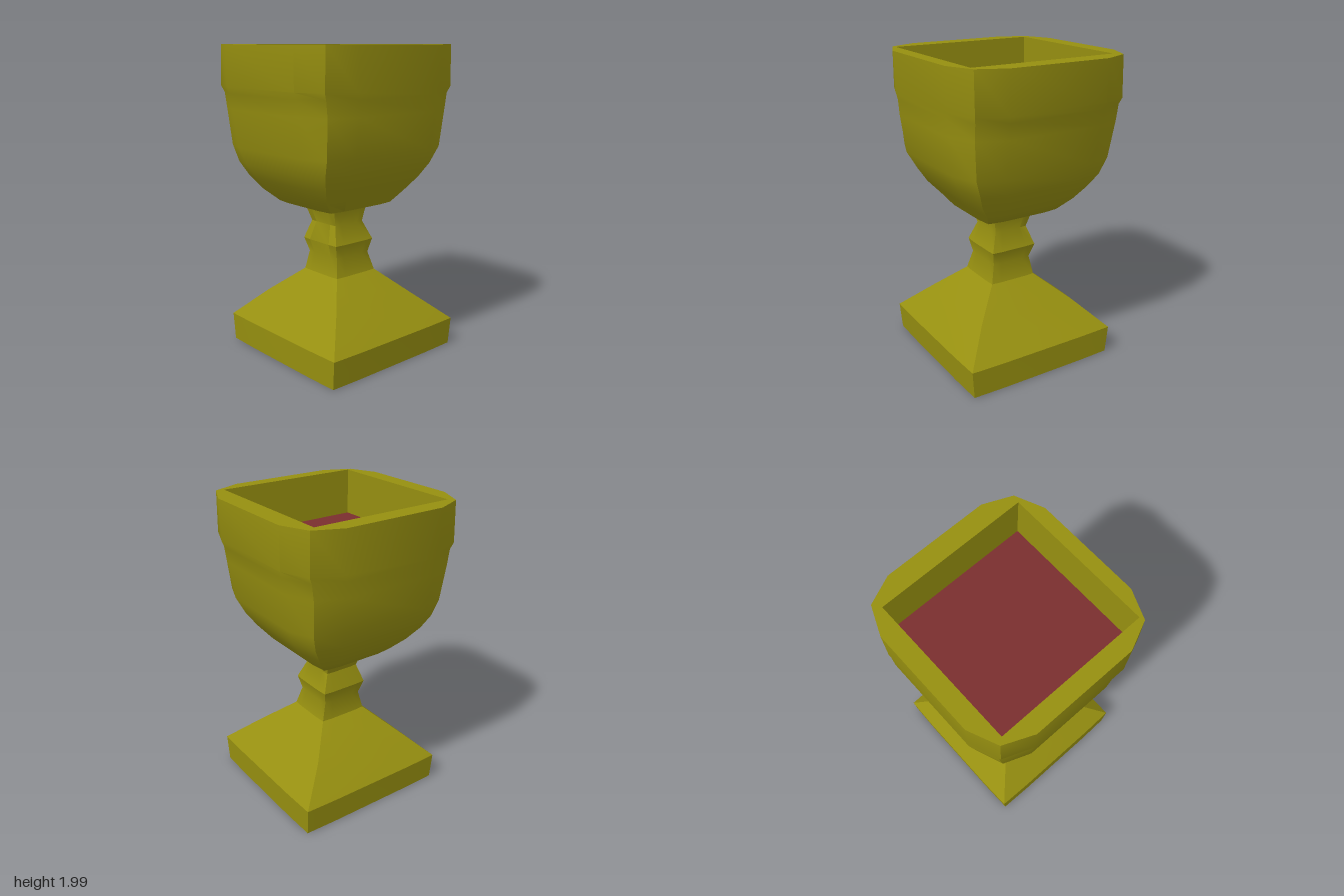
import * as THREE from 'three';
import { toCreasedNormals } from 'three/addons/utils/BufferGeometryUtils.js';

const gold = new THREE.MeshStandardMaterial({ color: 0x968f10 });
const wine = new THREE.MeshStandardMaterial({ color: 0x7a2e2e });

// Square section with bulging sides: 3 points per side (corner, two side points).
// Row: [y, centre x, centre z, half width, half depth, corner ratio]
function section([y, cx, cz, hx, hz, corner]) {
  const side = 0.57;
  const quarter = [[corner, corner], [side, 1], [-side, 1]];
  const points = [];
  for (let q = 0; q < 4; q++) {
    for (let [x, z] of quarter) {
      for (let i = 0; i < q; i++) [x, z] = [-z, x];
      points.push([cx + x * hx, y, cz + z * hz]);
    }
  }
  return points;
}

// Skin a list of sections from bottom to top, optionally closing the bottom.
function loft(rows, capBottom) {
  const rings = rows.map(section);
  const n = rings[0].length;
  const positions = [];
  const tri = (a, b, c) => positions.push(...a, ...b, ...c);
  for (let r = 0; r < rings.length - 1; r++) {
    for (let i = 0; i < n; i++) {
      const j = (i + 1) % n;
      const [a, b, c, d] = [rings[r][i], rings[r][j], rings[r + 1][j], rings[r + 1][i]];
      tri(a, c, b);
      tri(a, d, c);
    }
  }
  if (capBottom) {
    const [y, cx, cz] = rows[0];
    for (let i = 0; i < n; i++) tri([cx, y, cz], rings[0][i], rings[0][(i + 1) % n]);
  }
  const geometry = new THREE.BufferGeometry();
  geometry.setAttribute('position', new THREE.Float32BufferAttribute(positions, 3));
  return toCreasedNormals(geometry, 0.6);
}

function part(name, geometry, material) {
  const mesh = new THREE.Mesh(geometry, material);
  mesh.name = name;
  return mesh;
}

export function createModel() {
  const group = new THREE.Group();
  group.name = 'goblet';

  // Square foot sloping up to the stem
  group.add(part('foot', loft([
    [0.01, 0.04, -0.02, 0.515, 0.525, 0.99],
    [0.19, 0.04, -0.02, 0.53, 0.53, 0.99],
    [0.37, 0.035, -0.01, 0.35, 0.34, 0.98],
    [0.53, 0.038, -0.007, 0.165, 0.17, 0.97],
  ], true), gold));

  // Stem with a knob in the middle
  group.add(part('stem', loft([
    [0.53, 0.038, -0.007, 0.165, 0.17, 0.97],
    [0.65, 0.03, -0.005, 0.14, 0.14, 0.97],
    [0.74, 0.025, -0.005, 0.165, 0.165, 0.97],
    [0.86, 0.02, 0, 0.12, 0.12, 0.97],
    [0.97, 0.01, 0.005, 0.15, 0.145, 0.97],
  ], false), gold));

  // Bowl, rim and inner wall in one skin
  group.add(part('bowl', loft([
    [0.96, 0.01, 0.005, 0.15, 0.145, 0.97],
    [0.99, 0.01, 0.01, 0.27, 0.27, 0.95],
    [1.07, 0, 0.015, 0.345, 0.36, 0.93],
    [1.16, 0, 0.015, 0.425, 0.435, 0.91],
    [1.25, 0, 0.01, 0.48, 0.495, 0.9],
    [1.36, 0.005, 0.005, 0.535, 0.54, 0.88],
    [1.6, -0.003, 0, 0.573, 0.565, 0.87],
    [1.7, -0.003, 0, 0.577, 0.58, 0.87],
    [1.74, -0.002, 0, 0.583, 0.595, 0.88],
    [2, 0, 0, 0.588, 0.595, 0.87],
    [2, 0.013, 0.01, 0.488, 0.477, 1],
    [1.68, 0.013, 0.01, 0.486, 0.477, 1],
  ], true), gold));

  // Drink surface inside the bowl
  const drink = part('drink', new THREE.PlaneGeometry(0.976, 0.956), wine);
  drink.rotation.x = -Math.PI / 2;
  drink.position.set(0.013, 1.7, 0.01);
  group.add(drink);

  return group;
}
